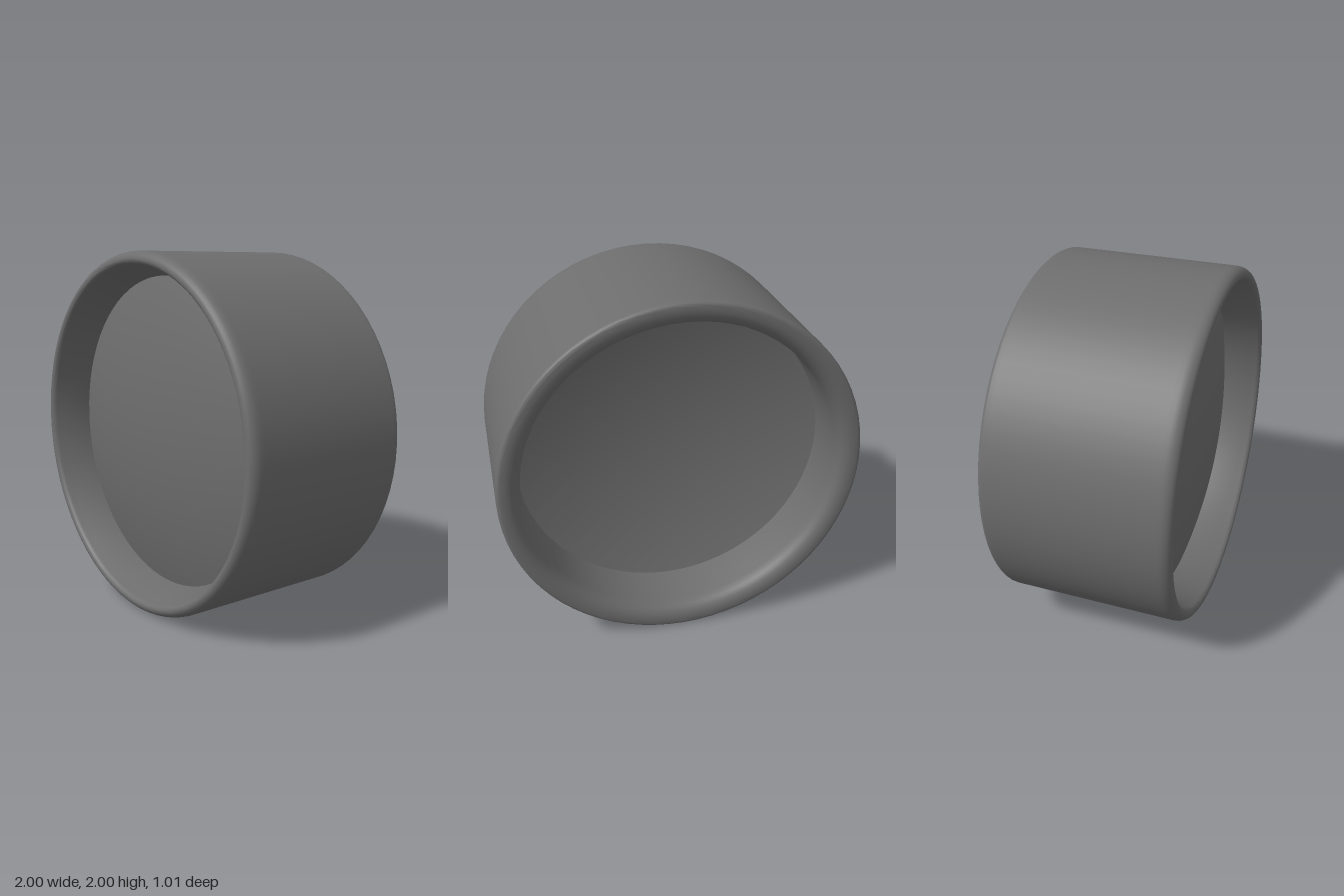
import * as THREE from 'three';
import { toCreasedNormals } from 'three/addons/utils/BufferGeometryUtils.js';

const SEGMENTS = 72;
const material = new THREE.MeshStandardMaterial({ color: 0x6d6d6d });

// Revolves [radius, z] points about the z axis
function revolve(name, points) {
  const profile = points.map(([r, z]) => new THREE.Vector2(r, z));
  const geometry = toCreasedNormals(new THREE.LatheGeometry(profile, SEGMENTS), 0.6);
  geometry.rotateX(Math.PI / 2);
  const mesh = new THREE.Mesh(geometry, material);
  mesh.name = name;
  return mesh;
}

// Elliptic corner from angle a0 to a1 (degrees) around (r, z)
function corner(r, z, rx, rz, a0, a1, steps = 6) {
  return Array.from({ length: steps + 1 }, (_, i) => {
    const a = THREE.MathUtils.degToRad(a0 + ((a1 - a0) * i) / steps);
    return [r + rx * Math.cos(a), z + rz * Math.sin(a)];
  });
}

// Spherical cap from the centre out to the edge
function cap(edgeRadius, edgeZ, centreZ, steps = 16) {
  const h = centreZ - edgeZ;
  const R = (edgeRadius ** 2 + h ** 2) / (2 * Math.abs(h));
  const maxAngle = Math.asin(edgeRadius / R);
  return Array.from({ length: steps + 1 }, (_, i) => {
    const a = (maxAngle * i) / steps;
    return [R * Math.sin(a), centreZ - Math.sign(h) * R * (1 - Math.cos(a))];
  });
}

export function createModel() {
  const group = new THREE.Group();
  group.name = 'lens';

  // Barrel: outer wall, rounded front lip with tapered mouth,
  // straight bore, broad rounded back lip
  group.add(revolve('barrel', [
    [1, -0.46],
    [1, 0.42],
    ...corner(0.955, 0.445, 0.045, 0.06, 0, 90),
    ...corner(0.955, 0.465, 0.03, 0.04, 90, 165),
    [0.915, 0.44],
    [0.87, 0.29],
    [0.87, 0.27],
    [0.87, -0.15],
    [0.87, -0.42],
    ...corner(0.955, -0.43, 0.08, 0.075, 195, 270),
    ...corner(0.975, -0.48, 0.025, 0.025, 270, 360),
    [1, -0.46],
  ]));

  // Glass: convex in front, concave at the back
  group.add(revolve('glass', [
    ...cap(0.874, -0.165, -0.04),
    ...cap(0.874, 0.28, 0.41).reverse(),
  ]));

  group.position.y = 1;
  const model = new THREE.Group();
  model.add(group);
  return model;
}
